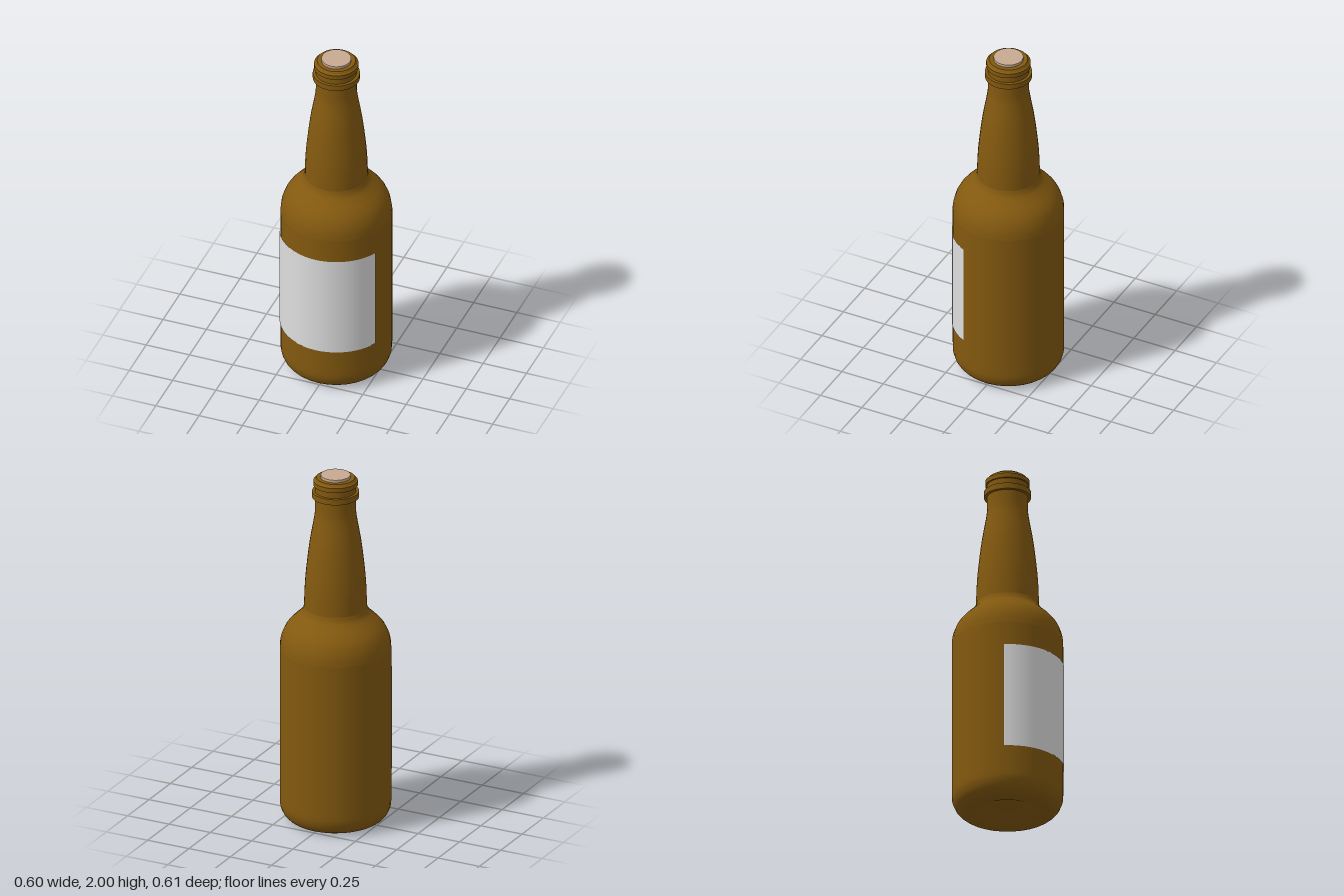
import * as THREE from 'three';
import { mergeGeometries } from 'three/addons/utils/BufferGeometryUtils.js';

const SIDES = 32;
const vec = ([r, y]) => new THREE.Vector2(r, y);

// Smoothly curved section of the bottle wall
const curved = (points, divisions) =>
  new THREE.LatheGeometry(new THREE.SplineCurve(points.map(vec)).getPoints(divisions), SIDES);

// Crisp-edged section: each straight piece of the profile gets its own normals
const crisp = (points) => points.slice(1).map((p, i) =>
  new THREE.LatheGeometry([vec(points[i]), vec(p)], SIDES));

export function createModel() {
  const glass = new THREE.MeshStandardMaterial({ color: 0x83590f });
  glass.name = 'amberGlass';
  const paper = new THREE.MeshStandardMaterial({ color: 0xdedede, side: THREE.DoubleSide });
  paper.name = 'labelPaper';
  const stopperMat = new THREE.MeshStandardMaterial({ color: 0xc8aa92 });
  stopperMat.name = 'stopperTan';

  const model = new THREE.Group();
  model.name = 'bottle';
  const add = (name, geometry, material) => {
    const mesh = new THREE.Mesh(geometry, material);
    mesh.name = name;
    model.add(mesh);
  };

  // Body: hollowed base, rounded heel, straight wall, and shoulder
  add('body', mergeGeometries([
    curved([[0, 0.05], [0.06, 0.045], [0.12, 0.025], [0.17, 0.005], [0.21, 0],
      [0.25, 0.01], [0.282, 0.04], [0.298, 0.08], [0.301, 0.12]], 32),
    ...crisp([[0.301, 0.12], [0.301, 1.0]]),
    curved([[0.301, 1.0], [0.294, 1.05], [0.275, 1.1], [0.246, 1.14],
      [0.21, 1.175], [0.182, 1.205], [0.17, 1.235]], 24),
  ]), glass);

  // Tapering neck
  add('neck', curved([[0.17, 1.235], [0.168, 1.31], [0.163, 1.4], [0.152, 1.51],
    [0.138, 1.62], [0.119, 1.73], [0.111, 1.79], [0.11, 1.875]], 28), glass);

  // Finish with two raised rings and a bevelled lip
  add('lip', mergeGeometries(crisp([
    [0.11, 1.873], [0.127, 1.873], [0.127, 1.906], [0.111, 1.906], [0.111, 1.942],
    [0.12, 1.942], [0.12, 1.968], [0.112, 1.973], [0.104, 1.985], [0.07, 1.985],
  ])), glass);

  // Stopper in the mouth
  const stopper = new THREE.CylinderGeometry(0.08, 0.08, 0.06, SIDES);
  stopper.translate(0, 1.97, 0);
  add('stopper', stopper, stopperMat);

  // Paper label wrapped round the front
  const half = THREE.MathUtils.degToRad(65);
  add('label', new THREE.LatheGeometry([vec([0.305, 0.265]), vec([0.305, 0.865])],
    24, -half, 2 * half), paper);

  return model;
}
